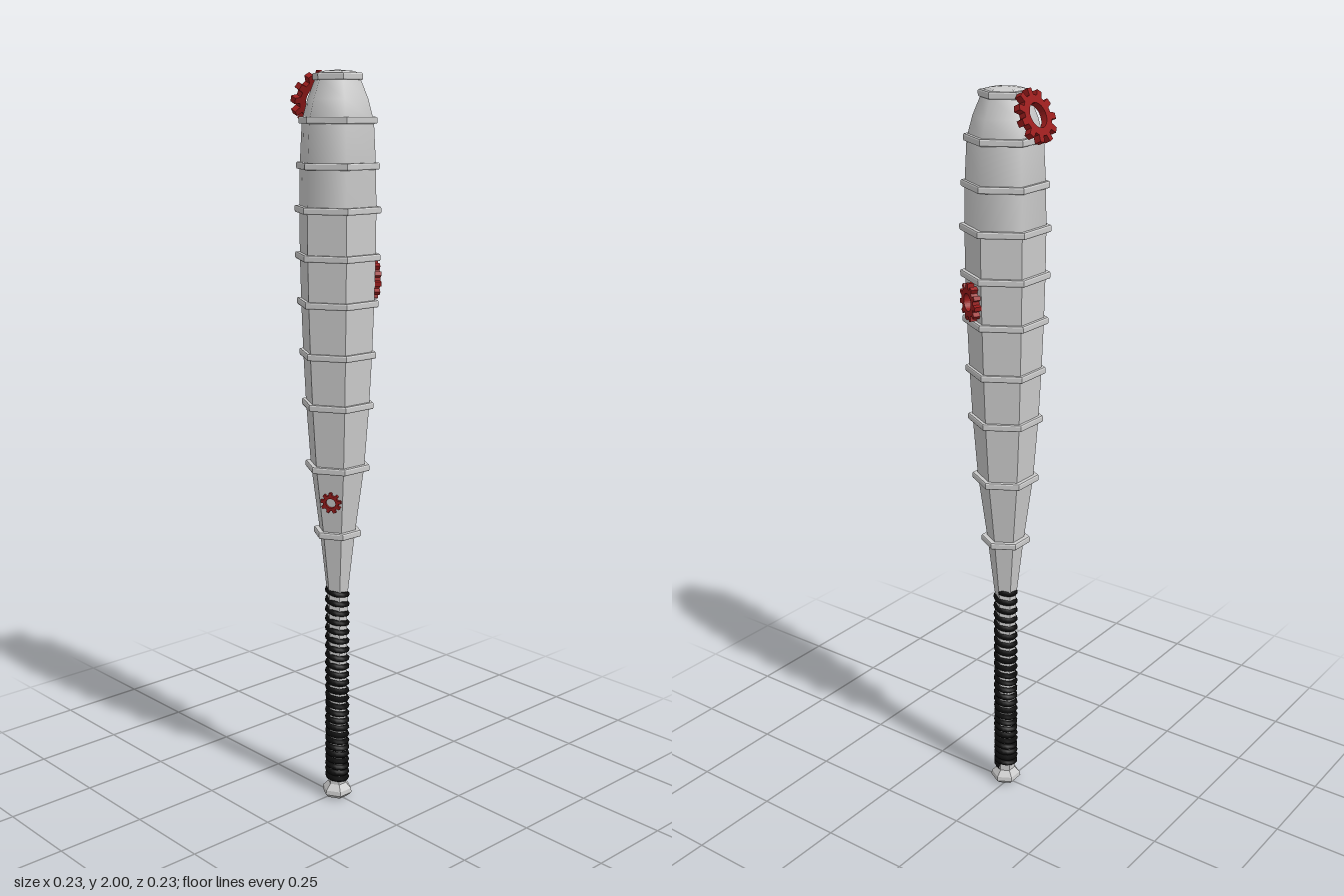
import * as THREE from 'three';

const CENTRE_Z = 0.01;
const grey = new THREE.MeshStandardMaterial({ color: 0xcccccc, flatShading: true });
const greySmooth = new THREE.MeshStandardMaterial({ color: 0xcccccc });
const black = new THREE.MeshStandardMaterial({ color: 0x0a0a0a });
const red = new THREE.MeshStandardMaterial({ color: 0x9a1c1c });

function add(parent, name, geometry, material) {
  const mesh = new THREE.Mesh(geometry, material);
  mesh.name = name;
  parent.add(mesh);
  return mesh;
}

// Six-sided turned shape with corners on the x axis; profile is [radius, y], bottom to top
function hexLathe(profile) {
  const points = profile.map(([r, y]) => new THREE.Vector2(r, y));
  return new THREE.LatheGeometry(points, 6, Math.PI / 2);
}

// Toothed wheel with a round hole, lying in the xy plane and facing +z
function gearGeometry(radius, teeth, depth) {
  const shape = new THREE.Shape();
  const step = (Math.PI * 2) / teeth;
  const corners = [[-0.3, 0.75], [-0.2, 1], [0.2, 1], [0.3, 0.75]];
  for (let i = 0; i < teeth; i++) {
    corners.forEach(([offset, scale], k) => {
      const a = Math.PI / 2 + (i + offset) * step;
      const x = Math.cos(a) * radius * scale, y = Math.sin(a) * radius * scale;
      if (i === 0 && k === 0) shape.moveTo(x, y);
      else shape.lineTo(x, y);
    });
  }
  shape.closePath();
  const hole = new THREE.Path();
  hole.absarc(0, 0, radius * 0.46, 0, Math.PI * 2, true);
  shape.holes.push(hole);
  const geometry = new THREE.ExtrudeGeometry(shape, { depth, bevelEnabled: false, curveSegments: 16 });
  return geometry.translate(0, 0, -depth / 2);
}

// Coil around the grip, wound tighter towards the knob
class GripCoil extends THREE.Curve {
  getPoint(t, target = new THREE.Vector3()) {
    const a = t * 25 * Math.PI * 2;
    const y = 0.055 + 0.575 * (0.75 * t + 0.25 * t * t);
    return target.set(Math.cos(a) * 0.026, y, Math.sin(a) * 0.026);
  }
  getPointAt(t, target) { return this.getPoint(t, target); }
  getTangentAt(t, target) { return this.getTangent(t, target); }
}

export function createModel() {
  const model = new THREE.Group();
  model.name = 'bat';
  const bat = new THREE.Group();
  bat.name = 'batBody';
  bat.position.z = CENTRE_Z;
  model.add(bat);

  // Knob and grip
  add(bat, 'knob', hexLathe([
    [0, 0], [0.032, 0.003], [0.043, 0.014], [0.041, 0.026], [0.026, 0.042], [0.025, 0.07],
  ]), grey);
  add(bat, 'gripCore', hexLathe([[0.025, 0.05], [0.027, 0.4], [0.03, 0.64]]), grey);
  add(bat, 'gripCoil', new THREE.TubeGeometry(new GripCoil(), 400, 0.0085, 6), black);

  // Faceted barrel
  add(bat, 'barrel', hexLathe([
    [0.031, 0.62], [0.05, 0.785], [0.075, 0.97], [0.088, 1.14],
    [0.095, 1.275], [0.1, 1.41], [0.103, 1.53], [0.104, 1.65],
  ]), grey);

  // Smooth upper barrel and end cap
  add(bat, 'upperBarrel', hexLathe([
    [0.104, 1.65], [0.102, 1.76], [0.096, 1.87], [0.081, 1.925], [0.06, 1.975],
  ]), greySmooth);
  add(bat, 'endCap', hexLathe([[0.06, 1.975], [0.06, 1.985], [0.045, 1.993], [0, 1.997]]), grey);

  // Raised bands: [height, radius]
  const bands = [
    [0.785, 0.067], [0.97, 0.09], [1.14, 0.1], [1.275, 0.106], [1.41, 0.112],
    [1.53, 0.116], [1.65, 0.117], [1.76, 0.112], [1.873, 0.105], [1.98, 0.067],
  ];
  for (const [y, r] of bands) {
    const inner = r - 0.025, h = 0.0085;
    add(bat, 'band', hexLathe([
      [inner, y - h], [r - 0.002, y - h], [r, y - h + 0.003],
      [r, y + h - 0.003], [r - 0.002, y + h], [inner, y + h],
    ]), grey);
  }

  // Gears set on the faces: radius, teeth, depth, position, outward direction
  const gears = [
    ['topGear', 0.068, 11, 0.018, [0, 1.932, -0.081], [0, 0.41, -0.91]],
    ['sideGear', 0.05, 11, 0.02, [0.083, 1.467, 0.058], [0.866, -0.03, 0.5]],
    ['smallGear', 0.029, 9, 0.012, [-0.048, 0.88, 0.038], [-0.866, -0.12, 0.5]],
  ];
  for (const [name, radius, teeth, depth, position, normal] of gears) {
    const gear = add(model, name, gearGeometry(radius, teeth, depth), red);
    gear.position.set(...position);
    gear.lookAt(new THREE.Vector3(...position).add(new THREE.Vector3(...normal)));
  }
  return model;
}
